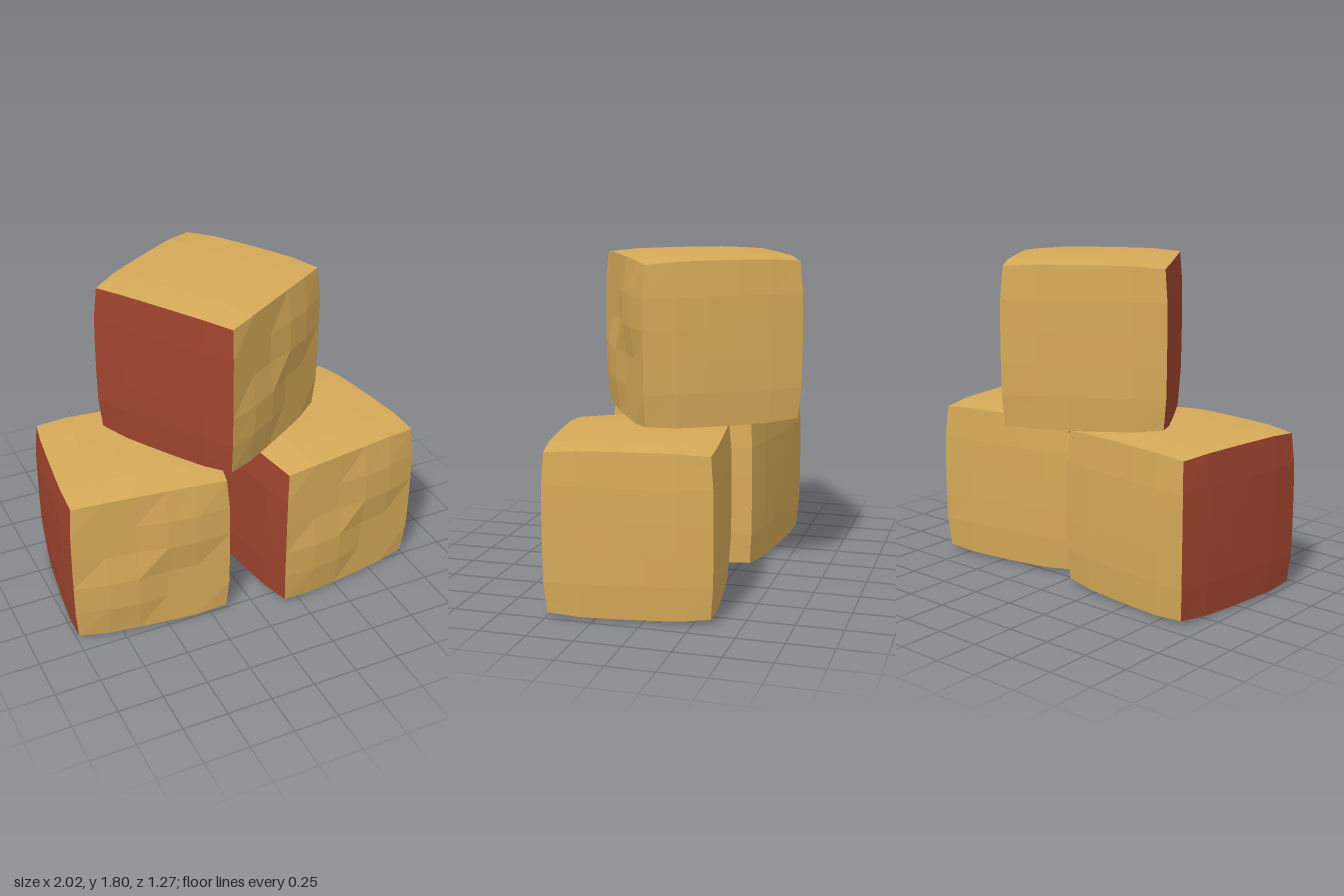
import * as THREE from 'three';

const SIZE = 0.84, HALF = SIZE / 2, SEGMENTS = 5;
const BULGE = 0.015, RELIEF = 0.011;

const tan = new THREE.MeshStandardMaterial({ color: 0xd6aa58, flatShading: true });
const red = new THREE.MeshStandardMaterial({ color: 0xa0452e, flatShading: true });

// Swelling across a face: none at its edges, full in the middle
const swell = (t) => BULGE * (1 - Math.pow(Math.abs(t) / HALF, 4));

// Puffed cube with a shallow checkered relief on the front
function blockGeometry() {
  const geometry = new THREE.BoxGeometry(SIZE, SIZE, SIZE, SEGMENTS, SEGMENTS, SEGMENTS);
  const pos = geometry.attributes.position;
  const v = new THREE.Vector3();
  const onEdge = (t) => Math.abs(t) > HALF - 0.001;
  for (let i = 0; i < pos.count; i++) {
    v.fromBufferAttribute(pos, i);
    const { x, y, z } = v;
    if (onEdge(x)) v.x += Math.sign(x) * (swell(y) + swell(z));
    if (onEdge(y)) v.y += Math.sign(y) * (swell(x) + swell(z));
    if (onEdge(z)) v.z += Math.sign(z) * (swell(x) + swell(y));
    if (onEdge(z) && z > 0 && !onEdge(x) && !onEdge(y)) v.z += RELIEF * Math.sign(x * y);
    pos.setXYZ(i, v.x, v.y, v.z);
  }
  geometry.computeVertexNormals();
  return geometry;
}

// Keep only the faces of one set of box sides (0 +x, 1 -x, 2 +y, 3 -y, 4 +z, 5 -z)
function pickSides(geometry, sides) {
  const all = Array.from(geometry.index.array);
  const index = sides.flatMap((s) => {
    const { start, count } = geometry.groups[s];
    return all.slice(start, start + count);
  });
  const part = geometry.clone();
  part.clearGroups();
  part.setIndex(index);
  return part;
}

export function createModel() {
  const model = new THREE.Group();
  model.name = 'blockStack';

  const geometry = blockGeometry();
  const bodyGeometry = pickSides(geometry, [0, 2, 3, 4, 5]);
  const sideGeometry = pickSides(geometry, [1]);

  // Two blocks on the ground and one turned on top
  const blocks = [
    ['lowerRightBlock', -0.525, 0.45, 0.045, -0.12],
    ['lowerLeftBlock', 0.515, 0.45, 0.135, 0.145],
    ['topBlock', -0.005, 1.35, -0.045, 0.555],
  ];
  for (const [name, x, y, z, turn] of blocks) {
    const block = new THREE.Group();
    block.name = name;
    const body = new THREE.Mesh(bodyGeometry, tan);
    body.name = 'blockBody';
    const side = new THREE.Mesh(sideGeometry, red);
    side.name = 'paintedSide';
    block.add(body, side);
    block.position.set(x, y, z);
    block.rotation.y = turn;
    model.add(block);
  }
  return model;
}
